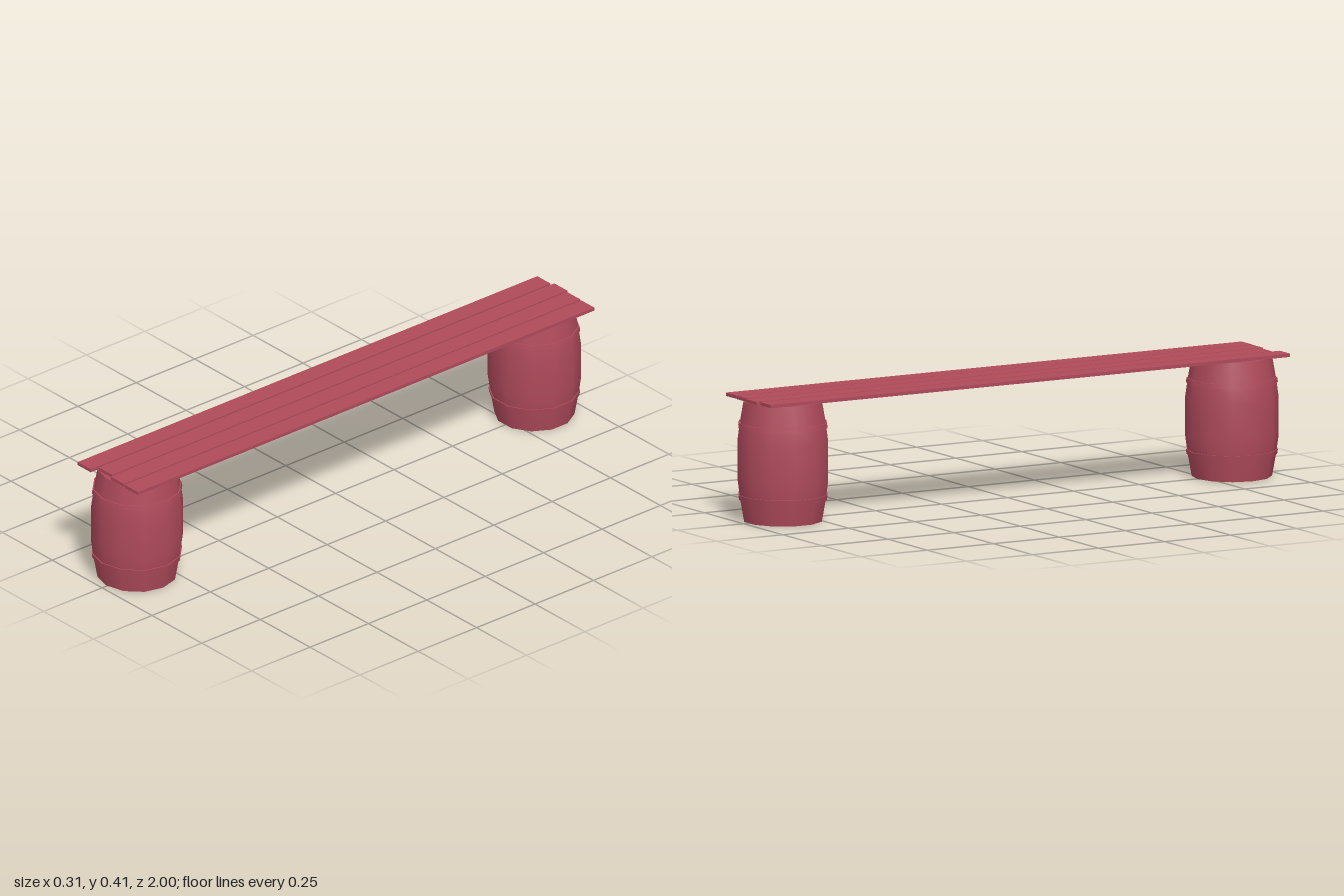
import * as THREE from 'three';
import { mergeGeometries } from 'three/addons/utils/BufferGeometryUtils.js';

const SIDES = 12;
const material = new THREE.MeshStandardMaterial({ color: 0xb04a5b });

// Lathe of a smooth profile running with the outside on its right
const lathe = (points) =>
  new THREE.LatheGeometry(points.map(([r, y]) => new THREE.Vector2(r, y)), SIDES);

// Each profile section is smooth in itself, with sharp edges between sections
function turned(name, sections) {
  const mesh = new THREE.Mesh(mergeGeometries(sections.map(lathe)), material);
  mesh.name = name;
  return mesh;
}

function createBarrel(name) {
  const barrel = new THREE.Group();
  barrel.name = name;
  const H = 0.395, R = 0.131, inner = 0.122, recess = 0.012;

  // Bulging staves
  barrel.add(turned('staves', [[
    [R, 0], [0.1435, 0.07], [0.1525, 0.135], [0.1525, H - 0.135], [0.1435, H - 0.07], [R, H],
  ]]));

  // Recessed heads with a narrow rim at both ends
  barrel.add(turned('bottomHead', [
    [[0, recess], [inner, recess]], [[inner, recess], [inner, 0]], [[inner, 0], [R, 0]],
  ]));
  barrel.add(turned('topHead', [
    [[R, H], [inner, H]], [[inner, H], [inner, H - recess]], [[inner, H - recess], [0, H - recess]],
  ]));

  // Hoops, tilted to follow the staves
  for (const [hoopName, y0, y1, r0, r1] of [
    ['lowerHoop', 0.072, 0.088, 0.1475, 0.15],
    ['upperHoop', 0.309, 0.325, 0.15, 0.1475],
  ]) {
    const a = [r0, y0], b = [r1, y1], core = 0.138;
    barrel.add(turned(hoopName, [[[core, y0], a], [a, b], [b, [core, y1]]]));
  }
  return barrel;
}

export function createModel() {
  const model = new THREE.Group();
  model.name = 'barrelBench';

  const front = createBarrel('frontBarrel');
  front.position.set(-0.003, 0, 0.848);
  const back = createBarrel('backBarrel');
  back.position.set(-0.003, 0, -0.853);
  back.rotation.y = Math.PI / SIDES;
  model.add(front, back);

  // Four planks with slightly staggered ends: centre x, back z, front z
  [
    [-0.098, -0.975, 0.993],
    [-0.0245, -0.985, 0.965],
    [0.0485, -0.978, 0.976],
    [0.121, -0.976, 0.978],
  ].forEach(([x, z0, z1], i) => {
    const plank = new THREE.Mesh(new THREE.BoxGeometry(0.066, 0.011, z1 - z0), material);
    plank.name = `plank${i + 1}`;
    plank.position.set(x, 0.4035, (z0 + z1) / 2);
    model.add(plank);
  });
  return model;
}
